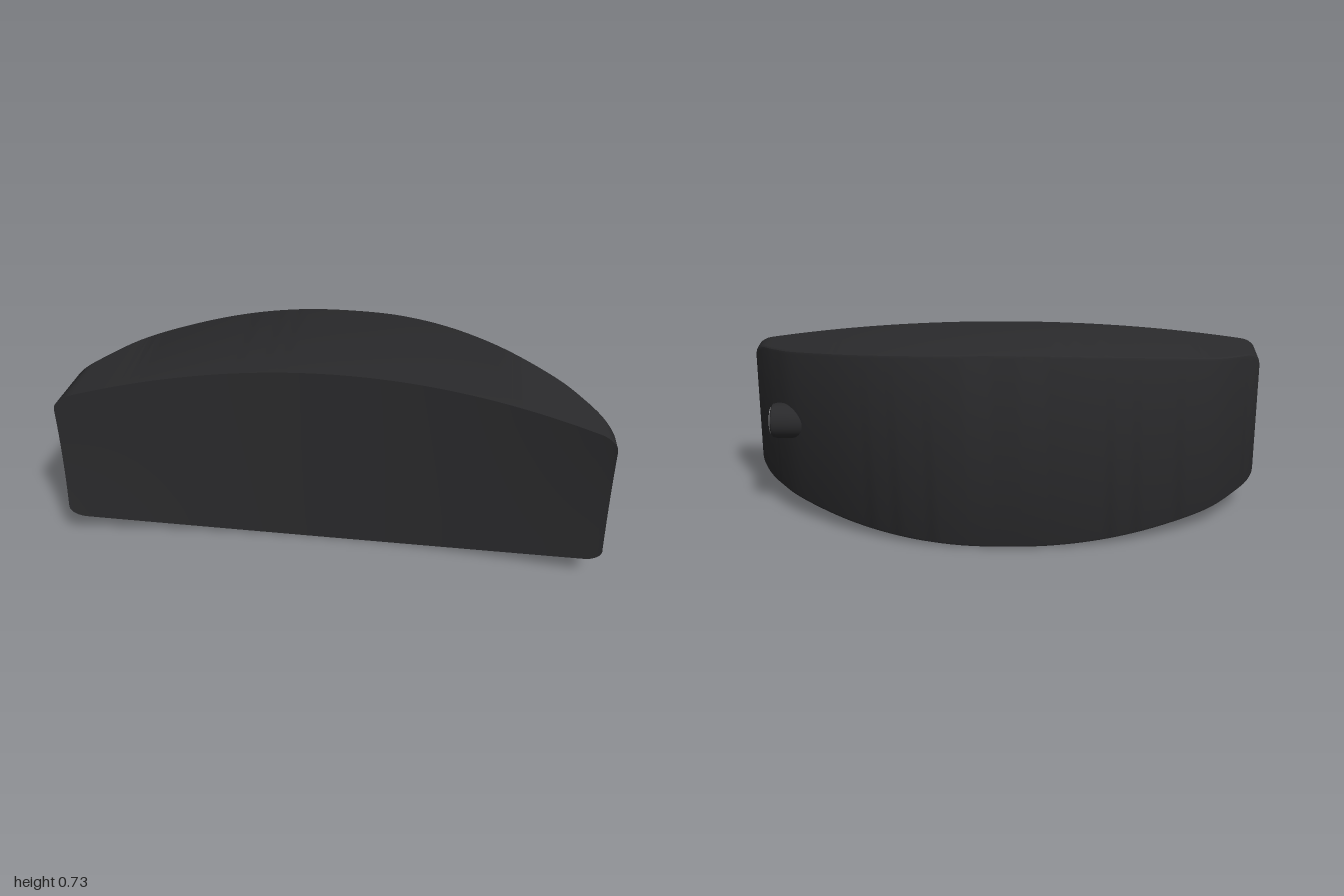
import * as THREE from 'three';
import { toCreasedNormals } from 'three/addons/utils/BufferGeometryUtils.js';

const MID = 0.367; // height of the horizontal symmetry plane
const black = new THREE.MeshStandardMaterial({ color: 0x2a2a2c });
const silver = new THREE.MeshStandardMaterial({ color: 0x98989a });
const white = new THREE.MeshStandardMaterial({ color: 0xeeeee6 });

function mesh(name, geometry, material) {
  const m = new THREE.Mesh(geometry, material);
  m.name = name;
  return m;
}

// Back outline as [x, z]
const outline = [
  [-1, 0.11], [-0.98, 0.087], [-0.95, 0.055], [-0.8, -0.1], [-0.6, -0.205], [-0.4, -0.275],
  [-0.2, -0.312], [0, -0.32], [0.2, -0.31], [0.4, -0.26], [0.6, -0.165], [0.8, -0.02],
  [0.9, 0.09], [0.95, 0.16], [0.98, 0.208], [1, 0.24],
];

// Half height: a shallow arc with rounded corners at the ends
function halfHeight(x) {
  const a = Math.abs(x);
  const t = Math.max(0, (a - 0.94) / 0.06);
  return 0.367 - 0.107 * a * a - 0.04 * (1 - Math.sqrt(Math.max(0, 1 - t * t)));
}

// Closed cross-section: concave front, bevelled back edges
function section(x, zBack) {
  const h = halfHeight(x), zFront = 0.185 + 0.123 * x * x;
  const xBack = x * (x < 0 ? 0.982 : 0.994);
  const b = 0.012;
  const pts = [];
  for (let i = 0; i <= 8; i++) {
    const v = i / 4 - 1;
    pts.push([zFront + 0.008 * v * v * x * x, v * h]);
  }
  pts.push([zBack + b, h], [zBack + b * 0.3, h - b * 0.3], [zBack, h - b]);
  pts.push([zBack, b - h], [zBack + b * 0.3, b * 0.3 - h], [zBack + b, -h]);
  const xAt = (z) => xBack + (x - xBack) * (z - zBack) / (zFront - zBack);
  return { xAt, pts };
}

function loft(sections) {
  const n = sections[0].pts.length, pos = [], idx = [];
  sections.forEach((s) => s.pts.forEach(([z, y]) => pos.push(s.xAt(z), MID + y, z)));
  for (let i = 0; i < sections.length - 1; i++) {
    for (let k = 0; k < n; k++) {
      const a = i * n + k, b = i * n + (k + 1) % n;
      idx.push(a, a + n, b, b, a + n, b + n);
    }
  }
  const g = new THREE.BufferGeometry();
  g.setAttribute('position', new THREE.Float32BufferAttribute(pos, 3));
  g.setIndex(idx);
  return toCreasedNormals(g, 0.45);
}

// Vertical rounded slot centred on (cx, 0)
function slotPath(path, cx, r, half) {
  path.absarc(cx, half - r, r, 0, Math.PI, false);
  path.absarc(cx, r - half, r, Math.PI, Math.PI * 2, false);
  path.closePath();
  return path;
}

// Flat end face, laid out in (z, y) and then set on the end plane
function endCap(s, side, hole) {
  const shape = new THREE.Shape(s.pts.map(([z, y]) => new THREE.Vector2(-side * z, y)));
  if (hole) shape.holes.push(hole);
  const g = new THREE.ShapeGeometry(shape, 10);
  const p = g.attributes.position;
  for (let i = 0; i < p.count; i++) {
    const z = -side * p.getX(i);
    p.setXYZ(i, s.xAt(z), MID + p.getY(i), z);
  }
  g.computeVertexNormals();
  return g;
}

export function createModel() {
  const model = new THREE.Group();
  model.name = 'curvedHousing';

  // Housing
  const curve = new THREE.SplineCurve(outline.map(([x, z]) => new THREE.Vector2(x, z)));
  const sections = curve.getPoints(90).map((p) => section(p.x, p.y));
  model.add(mesh('body', loft(sections), black));
  const slotZ = 0.205, r = 0.03, half = 0.08;
  const first = sections[0];
  model.add(mesh('rightEnd', endCap(first, -1, slotPath(new THREE.Path(), slotZ, r, half)), black));
  model.add(mesh('leftEnd', endCap(sections[sections.length - 1], 1), black));

  // Recessed slot, seen from its inside
  const depth = 0.05;
  const pocket = new THREE.ExtrudeGeometry(slotPath(new THREE.Shape(), slotZ, r, half),
    { depth, bevelEnabled: false, curveSegments: 10 });
  const p = pocket.attributes.position;
  for (let i = 0; i < p.count; i++) {
    const z = p.getX(i);
    p.setXYZ(i, first.xAt(z) + depth - p.getZ(i), MID + p.getY(i), z);
  }
  pocket.computeVertexNormals();
  const inside = black.clone();
  inside.side = THREE.BackSide;
  model.add(mesh('slotPocket', pocket, inside));

  // Side peg: sleeve, metal rim and domed tip, turned about x
  const peg = new THREE.Group();
  peg.name = 'sidePeg';
  const turned = (profile) => toCreasedNormals(new THREE.LatheGeometry(
    profile.map(([rad, y]) => new THREE.Vector2(rad, y)), 40), 0.6);
  peg.add(mesh('pegSleeve', turned([[0, 0], [0.069, 0], [0.068, 0.165], [0.065, 0.177], [0.057, 0.182]]), black));
  peg.add(mesh('pegRim', turned([[0.057, 0.182], [0.053, 0.186], [0.048, 0.185], [0.043, 0.176], [0.042, 0.15]]), silver));
  const dome = mesh('pegTip', new THREE.SphereGeometry(0.043, 32, 10, 0, Math.PI * 2, 0, Math.PI / 2), white);
  dome.scale.y = 0.5;
  dome.position.y = 0.16;
  peg.add(dome);
  peg.rotation.z = -Math.PI / 2;
  peg.position.set(0.72, 0.375, 0.033);
  model.add(peg);

  return model;
}
